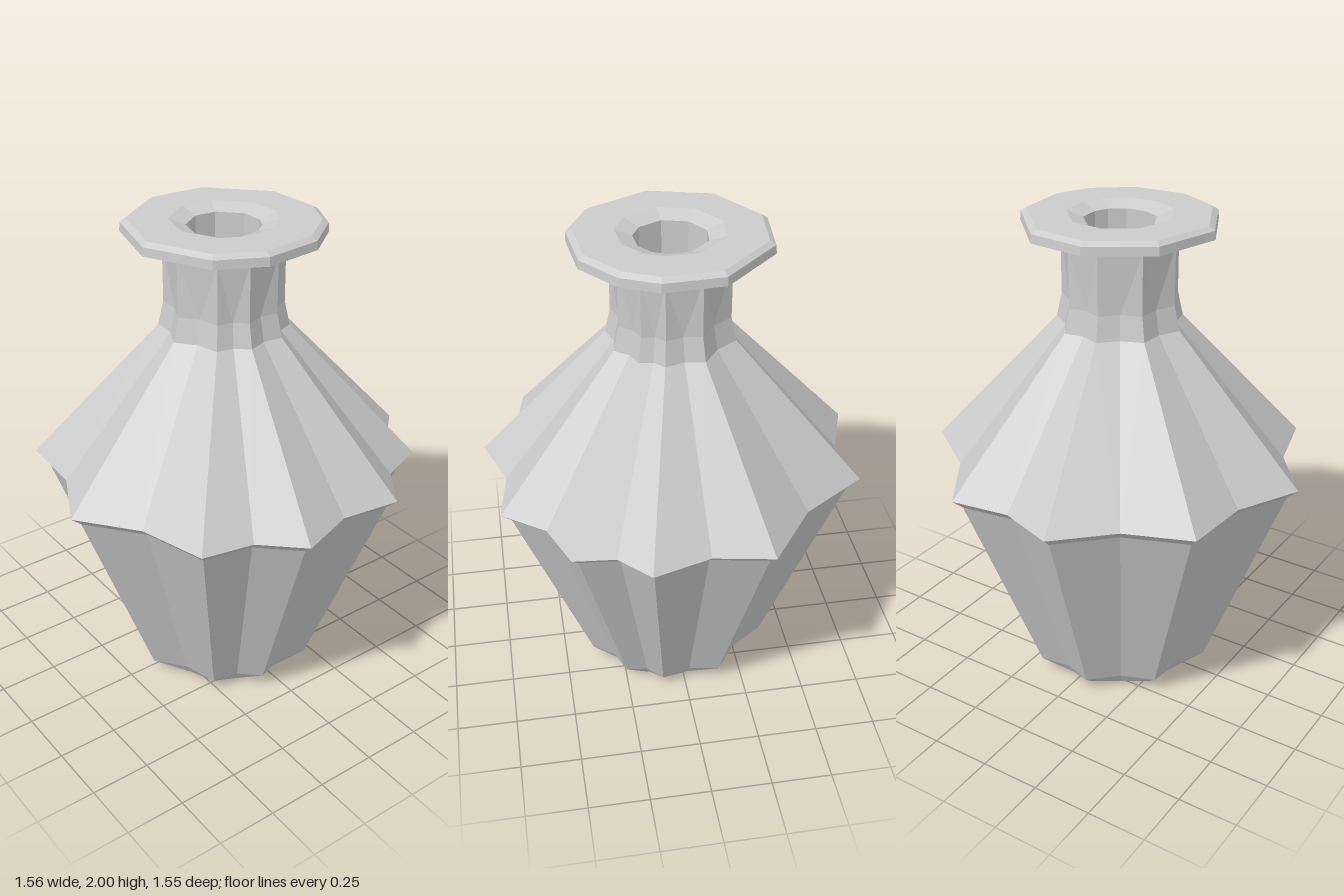
import * as THREE from 'three';

// Uneven directions (degrees, from +x towards +z) of the ten ridges
const RIDGES = [257.7, 292.7, 339.2, 374.2, 397.6, 427.1, 462.4, 492.4, 534.4, 576.2];
const FLUTE = 0.923; // how far the hollows between ridges are pulled in

// One cross-section: ridge points alternating with pulled-in chord midpoints
function ring([radius, y, pull]) {
  const ridges = RIDGES.map((deg) => {
    const a = THREE.MathUtils.degToRad(deg);
    return new THREE.Vector3(Math.cos(a) * radius, y, Math.sin(a) * radius);
  });
  return ridges.flatMap((p, i) => {
    const q = ridges[(i + 1) % ridges.length];
    return [p, new THREE.Vector3((p.x + q.x) / 2 * pull, y, (p.z + q.z) / 2 * pull)];
  });
}

// Skin a list of [radius, y, pull] cross-sections, with diagonals mirrored about each hollow
function skin(name, profile, material) {
  const rings = profile.map(ring);
  const pos = [];
  const tri = (...pts) => pts.forEach((p) => pos.push(p.x, p.y, p.z));
  for (let k = 0; k < rings.length - 1; k++) {
    const a = rings[k], b = rings[k + 1], n = a.length;
    for (let i = 0; i < n; i++) {
      const j = (i + 1) % n;
      if (i % 2) {
        tri(a[i], b[i], b[j]);
        tri(a[i], b[j], a[j]);
      } else {
        tri(a[i], b[i], a[j]);
        tri(b[i], b[j], a[j]);
      }
    }
  }
  const geometry = new THREE.BufferGeometry();
  geometry.setAttribute('position', new THREE.Float32BufferAttribute(pos, 3));
  geometry.computeVertexNormals();
  const mesh = new THREE.Mesh(geometry, material);
  mesh.name = name;
  return mesh;
}

export function createModel() {
  const group = new THREE.Group();
  group.name = 'vase';
  const material = new THREE.MeshStandardMaterial({ color: 0xcccccc, flatShading: true });

  // Closed foot, fluted belly and sloping shoulder
  const body = skin('body', [
    [0.0001, 0, 1], [0.34, 0, 1], [0.413, 0.06, FLUTE],
    [0.75, 0.935, FLUTE], [0.795, 0.975, FLUTE], [0.262, 1.56, FLUTE],
  ], material);

  // Neck, its flutes fading out towards the lip
  const neck = skin('neck', [
    [0.262, 1.56, FLUTE], [0.24, 1.66, FLUTE], [0.24, 1.905, 1],
  ], material);

  // Flat lip, dished around the mouth
  const lip = skin('lip', [
    [0.24, 1.905, 1], [0.402, 1.95, 1], [0.399, 1.985, 1],
    [0.375, 2, 1], [0.215, 2, 1], [0.147, 1.975, 1],
  ], material);

  // Hollow inside, down to the floor
  const inside = skin('inside', [
    [0.147, 1.975, 1], [0.147, 1.6, 1], [0.66, 0.97, FLUTE],
    [0.33, 0.08, FLUTE], [0.0001, 0.08, 1],
  ], material);

  group.add(body, neck, lip, inside);
  group.position.x = 0.006;
  return group;
}
